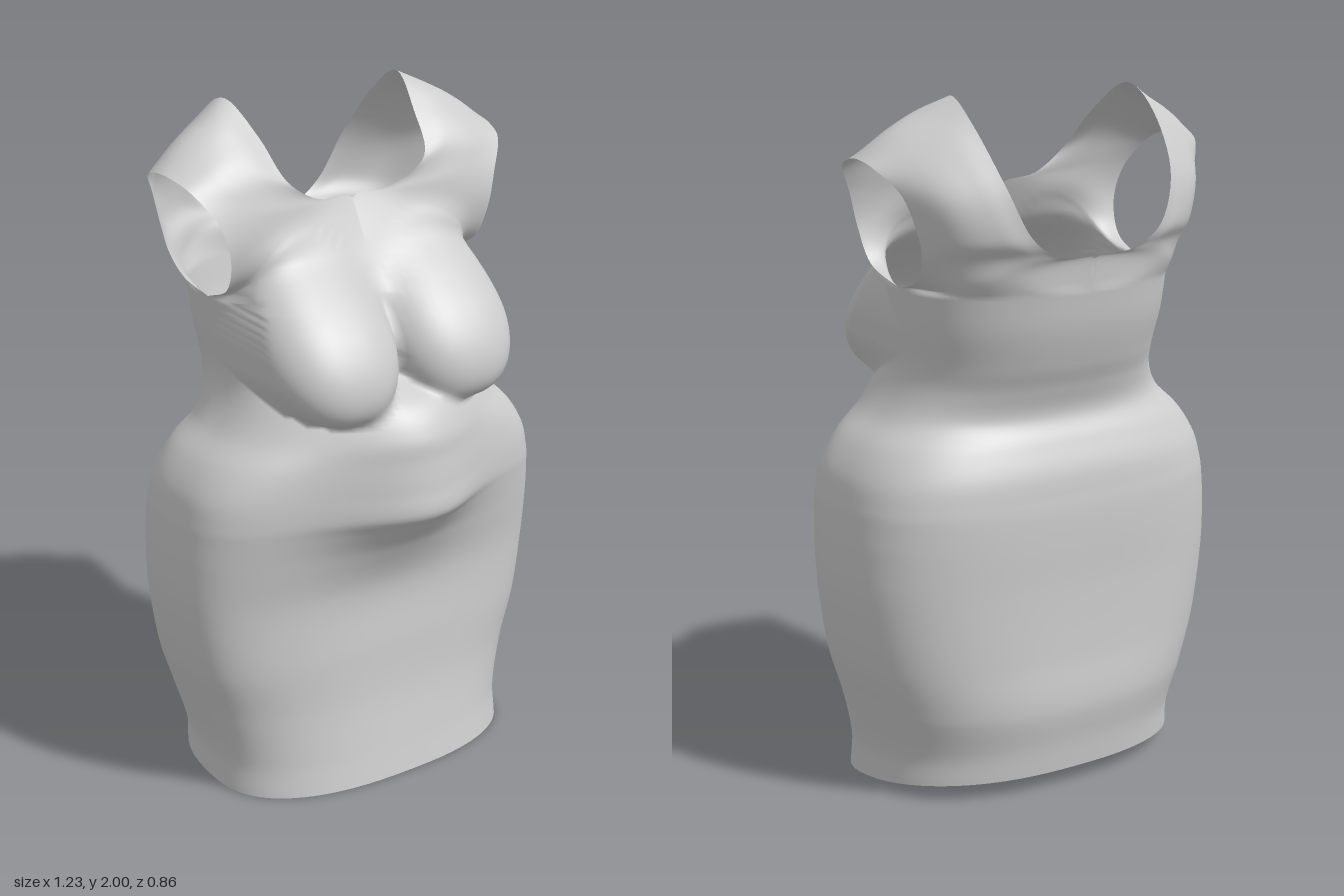
import * as THREE from 'three';
import { mergeGeometries, mergeVertices } from 'three/addons/utils/BufferGeometryUtils.js';

const QUARTER = 28; // columns per quarter turn

// Body rings: height, half width, front z, back z, side z, belly bulge, squareness
const RINGS = [
  [0, 0.50, 0.31, -0.36, 0, 0, 2.5],
  [0.1, 0.50, 0.29, -0.37, 0, 0, 2.5],
  [0.25, 0.535, 0.265, -0.39, 0, 0, 2.6],
  [0.4, 0.58, 0.255, -0.38, 0, 0, 2.8],
  [0.6, 0.61, 0.25, -0.375, 0, 0, 2.9],
  [0.74, 0.612, 0.27, -0.378, 0, 0.04, 2.9],
  [0.83, 0.605, 0.285, -0.378, 0, 0.10, 2.9],
  [0.87, 0.60, 0.29, -0.375, 0, 0.135, 2.9],
  [0.95, 0.58, 0.295, -0.365, 0, 0.125, 2.8],
  [1.03, 0.53, 0.295, -0.335, -0.01, 0.115, 2.7],
  [1.1, 0.46, 0.29, -0.305, -0.02, 0.11, 2.5],
  [1.18, 0.415, 0.265, -0.325, -0.04, 0.08, 2.4],
  [1.25, 0.40, 0.23, -0.355, -0.06, 0, 2.4],
  [1.36, 0.41, 0.21, -0.39, -0.08, 0, 2.4],
  [1.47, 0.42, 0.17, -0.41, -0.08, 0, 2.4],
];

// Strap rows, front to back over the shoulder: four points from neckline to armhole
const STRAP = [
  [0, 1.60, 0.09, 0.16, 1.60, 0.10, 0.32, 1.59, 0.095, 0.435, 1.52, 0.04],
  [0, 1.71, 0.03, 0.15, 1.69, 0.06, 0.31, 1.67, 0.08, 0.45, 1.62, 0.085],
  [0.13, 1.73, 0.045, 0.23, 1.735, 0.06, 0.34, 1.74, 0.07, 0.48, 1.72, 0.075],
  [0.24, 1.80, 0.05, 0.32, 1.82, 0.045, 0.42, 1.81, 0.045, 0.53, 1.80, 0.03],
  [0.27, 1.91, -0.04, 0.35, 1.90, -0.02, 0.44, 1.87, -0.01, 0.55, 1.83, -0.03],
  [0.30, 2.0, -0.16, 0.38, 1.96, -0.12, 0.47, 1.91, -0.11, 0.56, 1.84, -0.10],
  [0.305, 1.93, -0.28, 0.37, 1.91, -0.25, 0.46, 1.87, -0.21, 0.55, 1.82, -0.17],
  [0.28, 1.78, -0.395, 0.35, 1.77, -0.365, 0.43, 1.75, -0.32, 0.50, 1.75, -0.23],
  [0.22, 1.64, -0.433, 0.30, 1.64, -0.41, 0.39, 1.63, -0.35, 0.46, 1.63, -0.25],
  [0.12, 1.575, -0.425, 0.24, 1.58, -0.405, 0.36, 1.57, -0.335, 0.445, 1.56, -0.235],
  [0, 1.56, -0.42, 0.24, 1.53, -0.39, 0.355, 1.51, -0.315, 0.432, 1.50, -0.18],
];

// Smooth interpolation through rows of numbers placed at increasing keys
function spline(rows, keys, t) {
  const last = rows.length - 1;
  let i = 0;
  while (i < last - 1 && t > keys[i + 1]) i++;
  const h = keys[i + 1] - keys[i], f = (t - keys[i]) / h;
  const slope = (k, c) => {
    const a = Math.max(0, k - 1), b = Math.min(last, k + 1);
    return (rows[b][c] - rows[a][c]) / (keys[b] - keys[a]) * h;
  };
  return rows[0].map((_, c) => {
    const p = rows[i][c], q = rows[i + 1][c], m = slope(i, c), n = slope(i + 1, c);
    return p + f * (m + f * (3 * (q - p) - 2 * m - n + f * (2 * (p - q) + m + n)));
  });
}

// Front of a tilted teardrop bust cup at (x, y), or null outside it
function cupFront(x, y) {
  const q = 1 - (Math.abs(Math.abs(x) - 0.203) / 0.207) ** 2.4, dy = y - 1.35;
  const solve = (length) => {
    const a = 1 / 0.14 ** 2, b = 1 / length ** 2;
    const A = (a + b) / 2, B = dy * (a - b), D = B * B - 4 * A * (dy * dy * A - q);
    return q < 0 || D < 0 ? null : (-B + Math.sqrt(D)) / (2 * A);
  };
  let z = solve(0.25);
  if (dy > 0 && (z === null || z < dy)) z = solve(0.4); // longer towards the shoulder
  return z === null ? null : z + 0.165;
}

// Push front points out over the bust with a soft blend
function withBust([x, y, z]) {
  const cup = z > -0.05 && y < 1.68 ? cupFront(x, y) : null;
  if (cup !== null) z = (z + cup + Math.hypot(z - cup, 0.03)) / 2;
  return [x, y, z];
}

// Point on a body ring; angle 0 is the front centre, a quarter turn is +x
function ringPoint([y, w, front, back, side, belly, power], angle) {
  const bend = (v) => Math.sign(v) * Math.abs(v) ** (2 / power);
  const s = Math.sin(angle), c = Math.cos(angle);
  const x = w * bend(s);
  let z = side + (c > 0 ? front - side : side - back) * bend(c);
  if (c > 0) z += belly * Math.exp(-((x / 0.24) ** 2)) * Math.min(1, c * 3);
  // the hem rises towards the back
  const lift = 0.05 * THREE.MathUtils.smoothstep(-z, -0.2, 0.36) * Math.max(0, 1 - y / 0.25);
  return withBust([x, y + lift, z]);
}

// Angle from a centre line towards the side, k from 0 to 1
const sideAngle = (k) => Math.PI / 2 * k ** 1.25;

// Angle of a column around the whole ring
function columnAngle(j) {
  const q = Math.floor(j / QUARTER) % 4, k = (j % QUARTER) / QUARTER;
  return q % 2 ? (q + 1) * Math.PI / 2 - sideAngle(1 - k) : q * Math.PI / 2 + sideAngle(k);
}

// Sheet from a grid of points
function sheet(rows, cols, point, flip = false) {
  const pos = [], index = [];
  for (let i = 0; i <= rows; i++) {
    for (let j = 0; j <= cols; j++) pos.push(...point(i, j));
  }
  for (let i = 0; i < rows; i++) {
    for (let j = 0; j < cols; j++) {
      const a = i * (cols + 1) + j, b = a + 1, d = a + cols + 1, e = d + 1;
      index.push(...(flip ? [a, d, b, b, d, e] : [a, b, d, b, e, d]));
    }
  }
  const g = new THREE.BufferGeometry();
  g.setAttribute('position', new THREE.Float32BufferAttribute(pos, 3));
  g.setIndex(index);
  return g;
}

// Half of the yoke: chest panel, shoulder strap and upper back
function yokeHalf(sign) {
  const top = RINGS[RINGS.length - 1], rows = 72;
  const thirds = [0, 1 / 3, 2 / 3, 1];
  const frontAt = (k) => ringPoint(top, sideAngle(k));
  const backAt = (k) => ringPoint(top, Math.PI - sideAngle(k));
  // the base rows are taken without the bust, which is added afterwards
  const frontRow = [0, 1.47, 0.17, 0.22, 1.47, 0.15, 0.353, 1.47, 0.075, 0.42, 1.47, -0.08];
  const all = [frontRow, ...STRAP, thirds.flatMap(backAt)];
  const keys = all.map((_, i) => i / (all.length - 1));
  return sheet(rows, QUARTER, (i, j) => {
    const k = j / QUARTER;
    let p;
    if (i === 0) p = frontAt(k);
    else if (i === rows) p = backAt(k);
    else {
      const r = spline(all, keys, i / rows);
      p = withBust(spline([0, 3, 6, 9].map((n) => r.slice(n, n + 3)), thirds, k));
    }
    return [p[0] * sign, p[1], p[2]];
  }, sign < 0);
}

export function createModel() {
  const group = new THREE.Group();
  group.name = 'dress';
  const fabric = new THREE.MeshStandardMaterial({ color: 0xcccccc, side: THREE.DoubleSide });
  fabric.name = 'grey fabric';

  // Skirt, waist, bust and yoke as one smooth open shell
  const rows = 130, cols = QUARTER * 4;
  const heights = RINGS.map((r) => r[0]);
  const body = sheet(rows, cols, (i, j) =>
    ringPoint(spline(RINGS, heights, 1.47 * i / rows), columnAngle(j)));
  const shell = mergeVertices(mergeGeometries([body, yokeHalf(1), yokeHalf(-1)]), 1e-4);
  shell.computeVertexNormals();
  const dress = new THREE.Mesh(shell, fabric);
  dress.name = 'dressBody';
  group.add(dress);
  return group;
}
